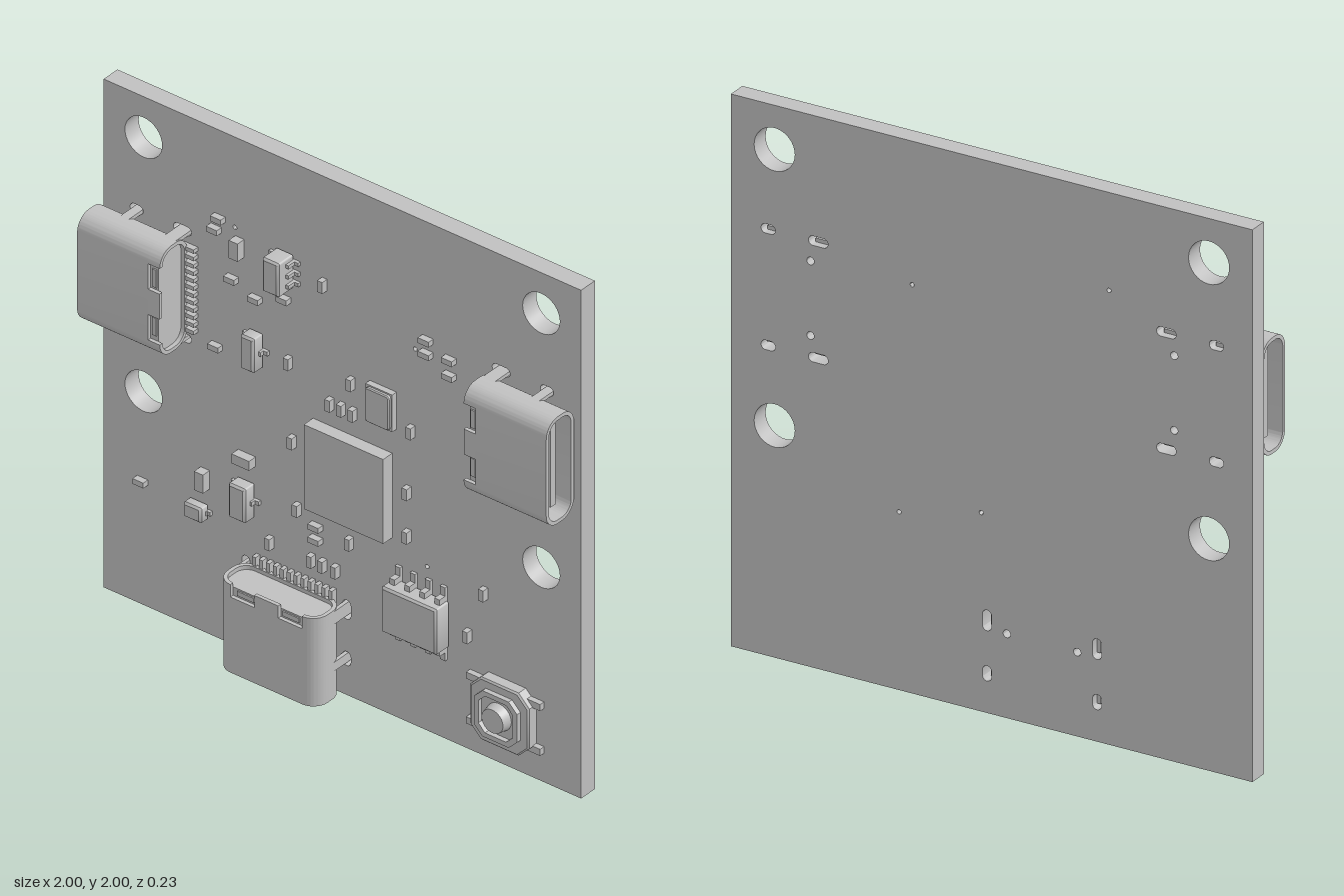
import * as THREE from 'three';
import { toCreasedNormals } from 'three/addons/utils/BufferGeometryUtils.js';

const grey = new THREE.MeshStandardMaterial({ color: 0xc0c0c0 });
grey.name = 'plain grey';
const TOP = -0.043; // front face of the board
const BACK = -0.115;

// Connector sockets: centre of the mouth edge and turn about z
const sockets = [
  { name: 'bottomSocket', x: -0.193, y: 0.02, turn: 0 },
  { name: 'rightSocket', x: -0.985, y: 1.335, turn: -Math.PI / 2 },
  { name: 'leftSocket', x: 0.98, y: 1.335, turn: Math.PI / 2 },
];

function add(parent, name, geometry, x = 0, y = 0, z = 0) {
  const mesh = new THREE.Mesh(geometry, grey);
  mesh.name = name;
  mesh.position.set(x, y, z);
  parent.add(mesh);
  return mesh;
}

// Box centred on x, y and spanning z0 to z1
function box(parent, name, x, y, w, h, z0, z1) {
  return add(parent, name, new THREE.BoxGeometry(w, h, z1 - z0), x, y, (z0 + z1) / 2);
}

function extrude(shape, depth, bevel = 0) {
  const g = new THREE.ExtrudeGeometry(shape, {
    depth: depth - bevel, bevelEnabled: bevel > 0, bevelThickness: bevel,
    bevelSize: bevel, bevelOffset: -bevel, bevelSegments: 1, curveSegments: 16,
  });
  return toCreasedNormals(g, 0.6);
}

function roundRect(P, w, h, r) {
  const s = new P(), a = w / 2, b = h / 2;
  s.moveTo(a, -b + r);
  s.absarc(a - r, b - r, r, 0, Math.PI / 2);
  s.absarc(-a + r, b - r, r, Math.PI / 2, Math.PI);
  s.absarc(-a + r, -b + r, r, Math.PI, Math.PI * 1.5);
  s.absarc(a - r, -b + r, r, Math.PI * 1.5, Math.PI * 2);
  s.closePath();
  return s;
}

function octagon(half, cut) {
  const a = half, c = half - cut;
  return new THREE.Shape([[a, -c], [a, c], [c, a], [-c, a], [-a, c], [-a, -c], [-c, -a], [c, -a]]
    .map(([x, y]) => new THREE.Vector2(x, y)));
}

function buildBoard(root) {
  const shape = new THREE.Shape([[-1, 0], [1, 0], [1, 2], [-1, 2]].map(([x, y]) => new THREE.Vector2(x, y)));
  const hole = (x, y, r) => shape.holes.push(new THREE.Path().absarc(x, y, r, 0, Math.PI * 2));
  // mounting holes and vias
  for (const x of [-0.833, 0.833]) for (const y of [0.84, 1.84]) hole(x, y, 0.078);
  for (const [x, y] of [[-0.45, 1.645], [0.305, 1.48], [0.355, 0.645], [0.04, 0.72]]) hole(x, y, 0.008);
  // leg slots and peg holes below each socket
  for (const s of sockets) {
    const c = Math.cos(s.turn), n = Math.sin(s.turn);
    const place = (u, v) => new THREE.Vector2(s.x + u * c - v * n, s.y + u * n + v * c);
    for (const side of [-1, 1]) {
      for (const [v, len] of [[0.315, 0.075], [0.123, 0.055]]) {
        const slot = roundRect(THREE.Path, 0.034, len, 0.0169).getPoints(6);
        shape.holes.push(new THREE.Path(slot.map((p) => place(p.x + side * 0.211, p.y + v))));
      }
      const peg = place(side * 0.135, 0.285);
      hole(peg.x, peg.y, 0.014);
    }
  }
  add(root, 'board', extrude(shape, TOP - BACK), 0, 0, BACK);
}

function buildSocket(root, s) {
  const g = new THREE.Group();
  g.name = s.name;
  g.position.set(s.x, s.y, 0);
  g.rotation.z = s.turn;
  root.add(g);
  const W = 0.42, H = 0.145, R = 0.06, T = 0.014, zc = 0.0425;
  // metal shell, open at the mouth
  const ring = roundRect(THREE.Shape, W, H, R);
  ring.holes.push(roundRect(THREE.Path, W - 2 * T, H - 2 * T, R - T));
  add(g, 'shell', extrude(ring, 0.297).rotateX(-Math.PI / 2), 0, 0, zc);
  // rear of the shell: two curved sides with notches between
  const a = W / 2 - R, b = H / 2 - R, q = Math.PI / 2;
  const side = new THREE.Shape();
  side.moveTo(a, -H / 2);
  side.absarc(a, -b, R, -q, 0);
  side.absarc(a, b, R, 0, q);
  side.lineTo(a, H / 2 - T);
  side.absarc(a, b, R - T, q, 0, true);
  side.absarc(a, -b, R - T, 0, -q, true);
  side.closePath();
  for (const turn of [0, Math.PI]) {
    add(g, 'shellSide', extrude(side, 0.05).rotateX(-q).rotateY(turn), 0, 0.296, zc);
  }
  box(g, 'shellTab', 0, 0.32, 0.1, 0.05, zc + H / 2 - T, zc + H / 2);
  box(g, 'shellFloor', 0, 0.32, 0.3, 0.05, zc - H / 2, zc - H / 2 + T);
  // plastic core and tongue
  add(g, 'core', extrude(roundRect(THREE.Shape, W - 2 * T, H - 2 * T, R - T), 0.075).rotateX(-q), 0, 0.255, zc);
  box(g, 'tongue', 0, 0.15, 0.32, 0.24, zc - 0.013, zc + 0.013);
  for (const m of [-1, 1]) {
    box(g, 'springArm', m * 0.095, 0.315, 0.07, 0.018, 0.09, 0.106);
    // legs through the board and locating pegs
    for (const [v, len] of [[0.315, 0.05], [0.123, 0.035]]) box(g, 'leg', m * 0.203, v, 0.014, len, -0.09, 0.03);
    add(g, 'peg', new THREE.CylinderGeometry(0.011, 0.011, 0.07, 12).rotateX(q), m * 0.135, 0.285, -0.05);
  }
  for (let i = 0; i < 12; i++) box(g, 'contact', -0.16 + i * 0.0291, 0.35, 0.015, 0.06, TOP, -0.02);
}

// Packaged chip with a bevelled body and leads given as [x, y, w, h]
function buildPackage(root, name, x, y, w, h, top, leads, leadTop) {
  const g = new THREE.Group();
  g.name = name;
  g.position.set(x, y, 0);
  root.add(g);
  const base = TOP + 0.006;
  const body = roundRect(THREE.Shape, w, h, 0.006);
  add(g, 'packageBody', extrude(body, top - base, 0.008), 0, 0, base);
  for (const [lx, ly, lw, lh] of leads) {
    const across = lw > lh;
    const sx = Math.sign(lx), sy = Math.sign(ly);
    box(g, 'leadFoot', lx, ly, lw, lh, TOP, TOP + 0.012);
    // raised shoulder next to the body
    if (across) box(g, 'leadShoulder', lx - sx * lw * 0.3, ly, lw * 0.5, lh, TOP, leadTop);
    else box(g, 'leadShoulder', lx, ly - sy * lh * 0.3, lw, lh * 0.5, TOP, leadTop);
  }
}

function buildButton(root) {
  const g = new THREE.Group();
  g.name = 'pushButton';
  g.position.set(0.69, 0.215, 0);
  root.add(g);
  for (const y of [-0.088, 0.088]) box(g, 'buttonLead', 0, y, 0.31, 0.026, TOP, -0.022);
  add(g, 'buttonBase', extrude(octagon(0.123, 0.045), 0.043, 0.006), 0, 0, TOP);
  const rim = octagon(0.09, 0.035);
  rim.holes.push(new THREE.Path(octagon(0.072, 0.028).getPoints()));
  add(g, 'buttonRim', extrude(rim, 0.018), 0, 0, 0);
  add(g, 'plunger', new THREE.CylinderGeometry(0.045, 0.052, 0.035, 32).rotateX(Math.PI / 2), 0, 0, 0.0175);
}

export function createModel() {
  const root = new THREE.Group();
  root.name = 'circuitBoard';
  buildBoard(root);
  sockets.forEach((s) => buildSocket(root, s));

  // small parts: upright ones, then lying ones, as centres
  const upright = [[-0.075, 1.578], [0.043, 1.24], [-0.219, 1.214], [0.294, 1.155], [-0.045, 1.123], [0.003, 1.123],
    [0.051, 1.123], [-0.203, 0.909], [0.278, 0.909], [0.278, 0.738], [-0.182, 0.652], [0.037, 0.61], [0.599, 0.644],
    [-0.297, 0.473], [-0.123, 0.476], [-0.075, 0.476], [-0.021, 0.476], [0.532, 0.452]];
  const lying = [[-0.513, 1.658], [-0.529, 1.61], [-0.457, 1.444], [-0.238, 1.455], [-0.358, 1.406], [0.358, 1.54],
    [0.358, 1.487], [0.455, 1.503], [0.455, 1.441], [-0.524, 1.15], [-0.837, 0.489], [-0.104, 0.615], [-0.104, 0.564]];
  for (const [x, y] of upright) box(root, 'smallPart', x, y, 0.021, 0.045, TOP, -0.018);
  for (const [x, y] of lying) box(root, 'smallPart', x, y, 0.045, 0.021, TOP, -0.018);
  for (const [x, y, w, h] of [[-0.43, 1.578, 0.037, 0.07], [-0.4, 0.759, 0.073, 0.037], [-0.575, 0.607, 0.037, 0.073]]) {
    box(root, 'capacitor', x, y, w, h, TOP, -0.008);
  }

  // main chip and crystal
  box(root, 'mainChip', 0.043, 0.864, 0.332, 0.332, TOP, 0.005);
  box(root, 'crystalBase', 0.171, 1.205, 0.112, 0.146, TOP, -0.02);
  add(root, 'crystalLid', extrude(roundRect(THREE.Shape, 0.1, 0.135, 0.012), 0.012, 0.004), 0.171, 1.205, -0.02);

  // packages with leads
  const six = [];
  for (const m of [-1, 1]) for (const y of [-0.04, 0, 0.04]) six.push([m * 0.048, y, 0.028, 0.014]);
  buildPackage(root, 'sixLeadChip', -0.238, 1.576, 0.07, 0.132, 0.04, six, 0.0);
  const three = (d) => [[-d, 0.041, 0.028, 0.016], [-d, -0.041, 0.028, 0.016], [d, 0, 0.028, 0.016]];
  buildPackage(root, 'upperTransistor', -0.358, 1.211, 0.056, 0.134, 0.012, three(0.038), -0.015);
  buildPackage(root, 'lowerTransistor', -0.4, 0.607, 0.07, 0.134, 0.014, three(0.044), -0.015);
  buildPackage(root, 'diode', -0.597, 0.481, 0.075, 0.058, 0.0,
    [[-0.042, 0, 0.02, 0.016], [0.042, 0, 0.02, 0.016]], -0.025);
  const eight = [];
  for (const m of [-1, 1]) for (let i = 0; i < 4; i++) eight.push([-0.094 + i * 0.063, m * 0.114, 0.022, 0.06]);
  buildPackage(root, 'eightLeadChip', 0.334, 0.458, 0.23, 0.178, 0.03, eight, -0.002);

  buildButton(root);
  return root;
}
